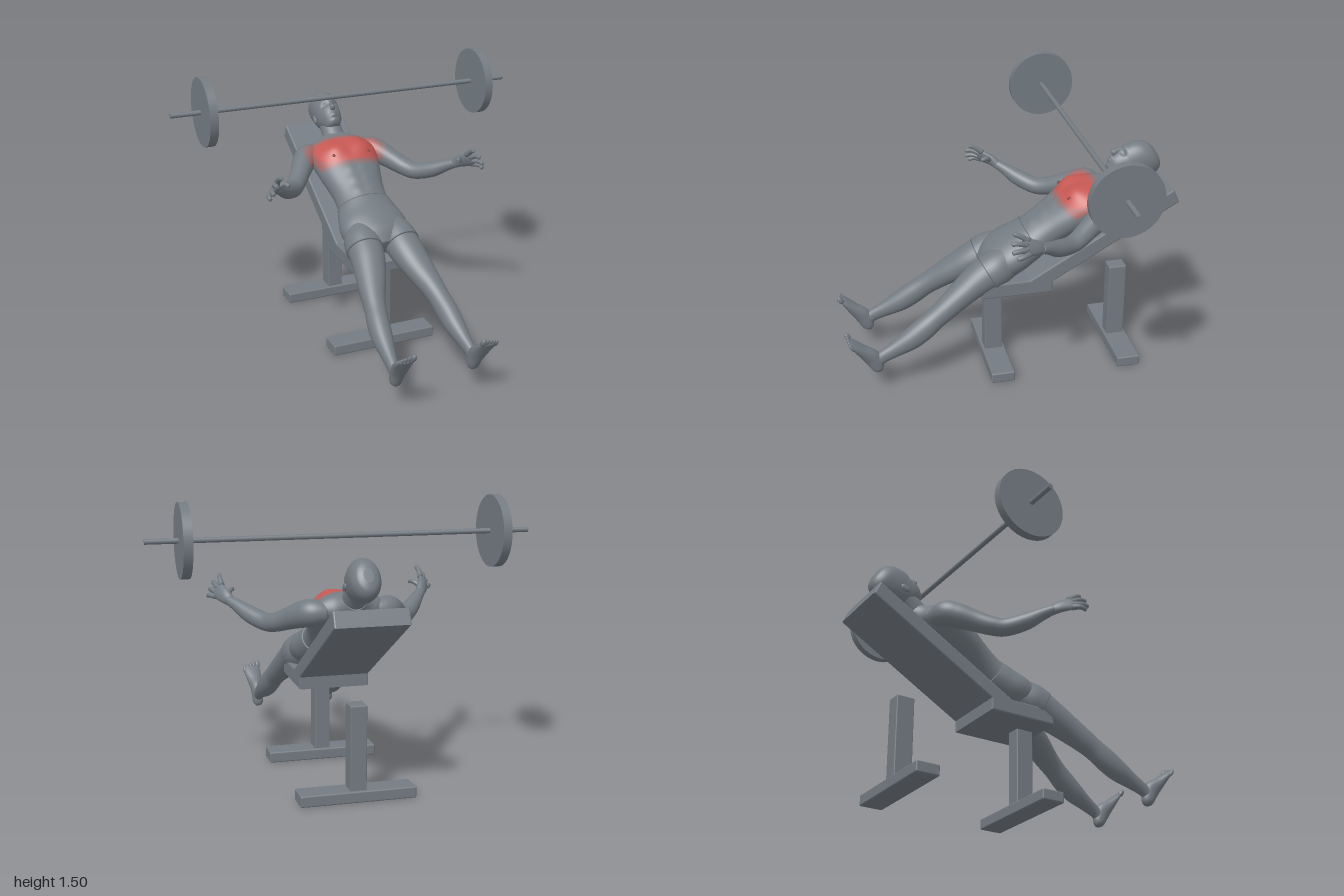
import * as THREE from 'three';
import { RoundedBoxGeometry } from 'three/addons/geometries/RoundedBoxGeometry.js';

const material = (name, color) => {
  const m = new THREE.MeshStandardMaterial({ color });
  m.name = name;
  return m;
};

export function createModel() {
  const grey = material('slate grey', 0x737b82);
  const red = material('muscle red', 0xc65853);
  const rose = material('faded red', 0xaa6462);
  const pale = material('pale red grey', 0x8c7073);
  const dark = material('dark red', 0x84403e);
  const skin = [grey, red, rose, pale];

  const model = new THREE.Group();
  model.name = 'inclinePress';
  const add = (parent, name, geo, mat = grey, x = 0, y = 0, z = 0) => {
    const mesh = new THREE.Mesh(geo, mat);
    mesh.name = name;
    mesh.position.set(x, y, z);
    parent.add(mesh);
    return mesh;
  };
  const ball = (parent, name, x, y, z, a, b, c, mat = grey) =>
    add(parent, name, new THREE.SphereGeometry(1, 20, 14), mat, x, y, z).scale.set(a, b, c);

  // Smooth skin over elliptical rings [x, y, z, halfWidth, halfDepth]; ref is the width direction,
  // level keeps every ring horizontal
  function loft(rings, { ref = [1, 0, 0], segs = 32, steps = 6, level = false, deform, pick } = {}) {
    const last = rings.length - 1, count = last * steps;
    const sample = (t) => {
      const i = Math.min(Math.floor(t), last - 1), f = t - i;
      const [p, q, r, s] = [-1, 0, 1, 2].map((k) => rings[Math.min(last, Math.max(0, i + k))]);
      return q.map((v, k) => v + 0.5 * f * (r[k] - p[k] +
        f * (2 * p[k] - 5 * v + 4 * r[k] - s[k] + f * (3 * (v - r[k]) + s[k] - p[k]))));
    };
    const center = (t) => new THREE.Vector3(...sample(t).slice(0, 3));
    const pts = [];
    for (let i = 0; i <= count; i++) {
      const t = i / steps, [, , , a, b] = sample(t), c = center(t);
      const dir = center(Math.min(last, t + 0.1)).sub(center(Math.max(0, t - 0.1))).normalize();
      if (level) dir.set(0, Math.sign(dir.y), 0);
      const A = new THREE.Vector3(...ref);
      A.addScaledVector(dir, -A.dot(dir)).normalize();
      const B = dir.clone().cross(A);
      for (let j = 0; j < segs; j++) {
        const w = (j / segs) * Math.PI * 2;
        const p = c.clone().addScaledVector(A, a * Math.cos(w)).addScaledVector(B, b * Math.sin(w));
        if (deform) deform(p);
        pts.push(p);
      }
    }
    pts.push(center(0), center(last));
    const buckets = [[], [], [], []];
    const face = (...ids) => {
      const mid = new THREE.Vector3();
      ids.forEach((k) => mid.addScaledVector(pts[k], 1 / ids.length));
      const bucket = buckets[pick ? pick(mid) : 0];
      bucket.push(ids[0], ids[1], ids[2]);
      if (ids.length > 3) bucket.push(ids[0], ids[2], ids[3]);
    };
    const n = pts.length;
    for (let j = 0; j < segs; j++) {
      const k = (j + 1) % segs, e = count * segs;
      for (let i = 0; i < count; i++) face(i * segs + j, i * segs + k, (i + 1) * segs + k, (i + 1) * segs + j);
      face(n - 2, k, j);
      face(n - 1, e + j, e + k);
    }
    const geo = new THREE.BufferGeometry().setFromPoints(pts);
    geo.setIndex(buckets.flat());
    let start = 0;
    buckets.forEach((b, i) => {
      if (b.length) geo.addGroup(start, b.length, i);
      start += b.length;
    });
    geo.computeVertexNormals();
    return geo;
  }

  // Bench: two T-shaped stands and a padded seat with sloping back
  const bench = new THREE.Group();
  bench.name = 'bench';
  model.add(bench);
  for (const [z, top] of [[0.08, 0.49], [-0.642, 0.5]]) {
    add(bench, 'standFoot', new RoundedBoxGeometry(0.605, 0.06, 0.13, 2, 0.008), grey, 0, 0.03, z);
    add(bench, 'standPost', new RoundedBoxGeometry(0.086, top - 0.04, 0.1, 2, 0.006), grey, 0, (top + 0.04) / 2, z);
  }
  const side = new THREE.Shape([[0.16, 0.483], [0.16, 0.52], [0.14, 0.541], [0.09, 0.552], [-0.095, 0.552],
    [-0.883, 1.012], [-0.911, 0.95], [-0.212, 0.545], [-0.212, 0.483]].map((p) => new THREE.Vector2(...p)));
  const pad = new THREE.ExtrudeGeometry(side, { depth: 0.364, bevelThickness: 0.008, bevelSize: 0.008, bevelSegments: 2 });
  add(bench, 'seatAndBackrest', pad.translate(0, 0, -0.182).rotateY(-Math.PI / 2));

  // Barbell
  const barbell = new THREE.Group();
  barbell.name = 'barbell';
  barbell.position.set(0, 1.311, -0.398);
  model.add(barbell);
  const rod = (r, len) => new THREE.CylinderGeometry(r, r, len, 48).rotateZ(Math.PI / 2);
  add(barbell, 'bar', rod(0.0135, 2));
  for (const s of [-1, 1]) add(barbell, 'weightPlate', rod(0.188, 0.046), grey, s * 0.811);

  // Body, built upright and then leaned back onto the bench
  const tilt = THREE.MathUtils.degToRad(58);
  const body = new THREE.Group();
  body.name = 'body';
  body.rotation.x = -tilt;
  model.add(body);
  const gauss = (...d) => Math.exp(-d.reduce((sum, v) => sum + v * v, 0));
  // Colour index of the worked chest muscle, fading outward; narrower toward the ribs
  const chest = (x, y, z, front) => {
    if (z < front) return 0;
    const width = 0.225 + 0.3 * Math.min(0, y - 0.86);
    const q = (x / width) ** 4 + ((y - 0.855) / 0.113) ** 4;
    return q < 0.42 ? 1 : q < 0.85 ? 2 : q < 1.4 ? 3 : 0;
  };

  // Chest, belly and buttock swellings are pushed out of the torso
  const torso = loft([
    [0, 0.21, 0.57, 0.06, 0.05], [0, 0.27, 0.555, 0.16, 0.1], [0, 0.36, 0.555, 0.187, 0.108],
    [0, 0.45, 0.55, 0.168, 0.106], [0, 0.53, 0.55, 0.15, 0.105], [0, 0.62, 0.555, 0.153, 0.105],
    [0, 0.74, 0.56, 0.178, 0.11], [0, 0.84, 0.56, 0.195, 0.114], [0, 0.92, 0.548, 0.198, 0.1],
    [0, 0.985, 0.54, 0.165, 0.078], [0, 1.025, 0.537, 0.095, 0.066], [0, 1.06, 0.54, 0.055, 0.055],
  ], {
    segs: 72, steps: 9, level: true,
    deform(p) {
      const ax = Math.abs(p.x);
      if (p.z > 0.57) {
        p.z += 0.021 * gauss((ax - 0.085) / 0.065, (p.y - 0.855) / 0.07);
        for (const y of [0.56, 0.635, 0.705]) p.z += 0.005 * gauss((ax - 0.04) / 0.03, (p.y - y) / 0.028);
      } else p.z -= 0.014 * gauss((ax - 0.08) / 0.06, (p.y - 0.33) / 0.07);
    },
    pick: (p) => chest(p.x, p.y, p.z, 0.585),
  });
  add(body, 'torso', torso, skin);
  add(body, 'shorts', loft([
    [0, 0.2, 0.57, 0.06, 0.055], [0, 0.27, 0.556, 0.165, 0.106], [0, 0.36, 0.555, 0.193, 0.114],
    [0, 0.45, 0.55, 0.174, 0.111], [0, 0.512, 0.55, 0.157, 0.11],
  ], { segs: 64, level: true }));

  // Head with face
  add(body, 'neck', loft([[0, 0.97, 0.535, 0.075, 0.065], [0, 1.04, 0.55, 0.064, 0.064],
    [0, 1.1, 0.562, 0.06, 0.06], [0, 1.16, 0.57, 0.058, 0.058]]));
  add(body, 'head', loft([
    [0, 1.056, 0.615, 0.018, 0.018], [0, 1.064, 0.612, 0.035, 0.036], [0, 1.085, 0.604, 0.05, 0.06],
    [0, 1.12, 0.592, 0.065, 0.09], [0, 1.17, 0.58, 0.074, 0.105], [0, 1.23, 0.57, 0.079, 0.114],
    [0, 1.28, 0.56, 0.075, 0.106], [0, 1.315, 0.555, 0.055, 0.078], [0, 1.33, 0.556, 0.025, 0.036],
  ], {
    segs: 96, steps: 10, level: true,
    deform(p) {
      if (p.z < 0.6) return;
      const ax = Math.abs(p.x);
      p.z -= 0.013 * gauss((ax - 0.031) / 0.016, (p.y - 1.178) / 0.013);
      p.z += 0.005 * gauss(p.x / 0.05, (p.y - 1.203) / 0.014);
      p.z += 0.01 * gauss(p.x / 0.018, (p.y - 1.11) / 0.007) + 0.011 * gauss(p.x / 0.016, (p.y - 1.094) / 0.007);
      p.z += 0.006 * gauss(p.x / 0.02, (p.y - 1.07) / 0.012);
    },
  }));
  add(body, 'nose', loft([[0, 1.19, 0.676, 0.007, 0.01], [0, 1.16, 0.686, 0.009, 0.014],
    [0, 1.136, 0.692, 0.015, 0.018], [0, 1.124, 0.685, 0.009, 0.009]], { segs: 20, level: true }));

  for (const [s, label] of [[1, 'left'], [-1, 'right']]) {
    const mirror = (rings) => rings.map(([x, ...rest]) => [s * x, ...rest]);
    ball(body, label + 'Eye', s * 0.031, 1.178, 0.655, 0.012, 0.007, 0.009);
    ball(body, label + 'Ear', s * 0.077, 1.165, 0.567, 0.009, 0.029, 0.018);
    ball(body, label + 'Nipple', s * 0.105, 0.8, 0.672, 0.01, 0.01, 0.004, dark);

    // Leg
    add(body, label + 'Leg', loft(mirror([
      [0.095, 0.34, 0.555, 0.075, 0.085], [0.105, 0.26, 0.565, 0.096, 0.097], [0.115, 0.16, 0.575, 0.095, 0.088],
      [0.14, 0.04, 0.574, 0.083, 0.073], [0.17, -0.08, 0.567, 0.066, 0.064], [0.185, -0.16, 0.562, 0.058, 0.06],
      [0.197, -0.24, 0.555, 0.058, 0.064], [0.206, -0.33, 0.552, 0.054, 0.06], [0.214, -0.43, 0.56, 0.039, 0.045],
      [0.22, -0.51, 0.567, 0.029, 0.037], [0.22, -0.565, 0.56, 0.03, 0.038],
    ])));
    add(body, label + 'ShortsLeg', loft(mirror([
      [0.095, 0.34, 0.555, 0.08, 0.09], [0.104, 0.27, 0.564, 0.1, 0.101], [0.11, 0.205, 0.57, 0.102, 0.1],
    ])));

    // Foot and toes
    add(body, label + 'Foot', loft(mirror([
      [0.22, -0.57, 0.505, 0.015, 0.015], [0.22, -0.564, 0.53, 0.031, 0.034], [0.221, -0.553, 0.6, 0.035, 0.046],
      [0.225, -0.568, 0.67, 0.043, 0.033], [0.23, -0.58, 0.73, 0.05, 0.021], [0.231, -0.587, 0.765, 0.045, 0.012],
    ])));
    for (let i = 0; i < 5; i++) {
      const r = i ? 0.0105 : 0.015;
      ball(body, label + 'Toe', s * (0.192 + i * 0.0195 + (i ? 0.004 : 0)), -0.587, 0.777 - i * 0.007, r, r, 0.026);
    }

    // Arm reaching out toward the feet, placed in the upright world frame
    add(model, label + 'Arm', loft(mirror([
      [0.12, 0.945, -0.535, 0.05, 0.05], [0.19, 0.945, -0.51, 0.069, 0.068], [0.235, 0.928, -0.46, 0.067, 0.065],
      [0.285, 0.897, -0.385, 0.057, 0.056], [0.335, 0.867, -0.315, 0.05, 0.052], [0.375, 0.858, -0.255, 0.047, 0.048],
      [0.44, 0.885, -0.175, 0.045, 0.044], [0.495, 0.922, -0.11, 0.033, 0.033], [0.535, 0.947, -0.06, 0.025, 0.025],
    ]), {
      ref: [0, 1, 0], segs: 48, steps: 9,
      pick: (p) => chest(p.x, Math.cos(tilt) * p.y - Math.sin(tilt) * p.z,
        Math.sin(tilt) * p.y + Math.cos(tilt) * p.z, 0.56),
    }), skin);

    // Open hand with spread fingers
    const hand = new THREE.Group();
    hand.name = label + 'Hand';
    model.add(hand);
    add(hand, 'palm', loft(mirror([
      [0.525, 0.94, -0.07, 0.027, 0.024], [0.55, 0.963, -0.035, 0.038, 0.022],
      [0.574, 0.983, 0.015, 0.043, 0.018], [0.583, 0.989, 0.034, 0.032, 0.011],
    ]), { ref: [s * -0.45, 0.89, 0], segs: 20 }));
    const fingers = [
      ['thumb', [0.542, 0.968, -0.03], [0.512, 0.99, -0.004], [0.498, 0.988, 0.026]],
      ['indexFinger', [0.557, 1.012, 0.012], [0.56, 1.042, 0.052], [0.558, 1.057, 0.085]],
      ['middleFinger', [0.573, 0.997, 0.022], [0.587, 1.016, 0.065], [0.588, 1.018, 0.1]],
      ['ringFinger', [0.583, 0.975, 0.022], [0.604, 0.983, 0.065], [0.607, 0.979, 0.1]],
      ['littleFinger', [0.59, 0.955, 0.012], [0.616, 0.956, 0.047], [0.62, 0.948, 0.078]],
    ];
    for (const [name, a, b, c] of fingers) {
      const tip = c.map((v, i) => v + (v - b[i]) * 0.12);
      add(hand, name, loft(mirror([[...a, 0.016, 0.016], [...b, 0.0135, 0.0135], [...c, 0.011, 0.011],
        [...tip, 0.005, 0.005]]), { ref: [0, 1, 0], segs: 12, steps: 4 }));
    }
  }
  return model;
}
